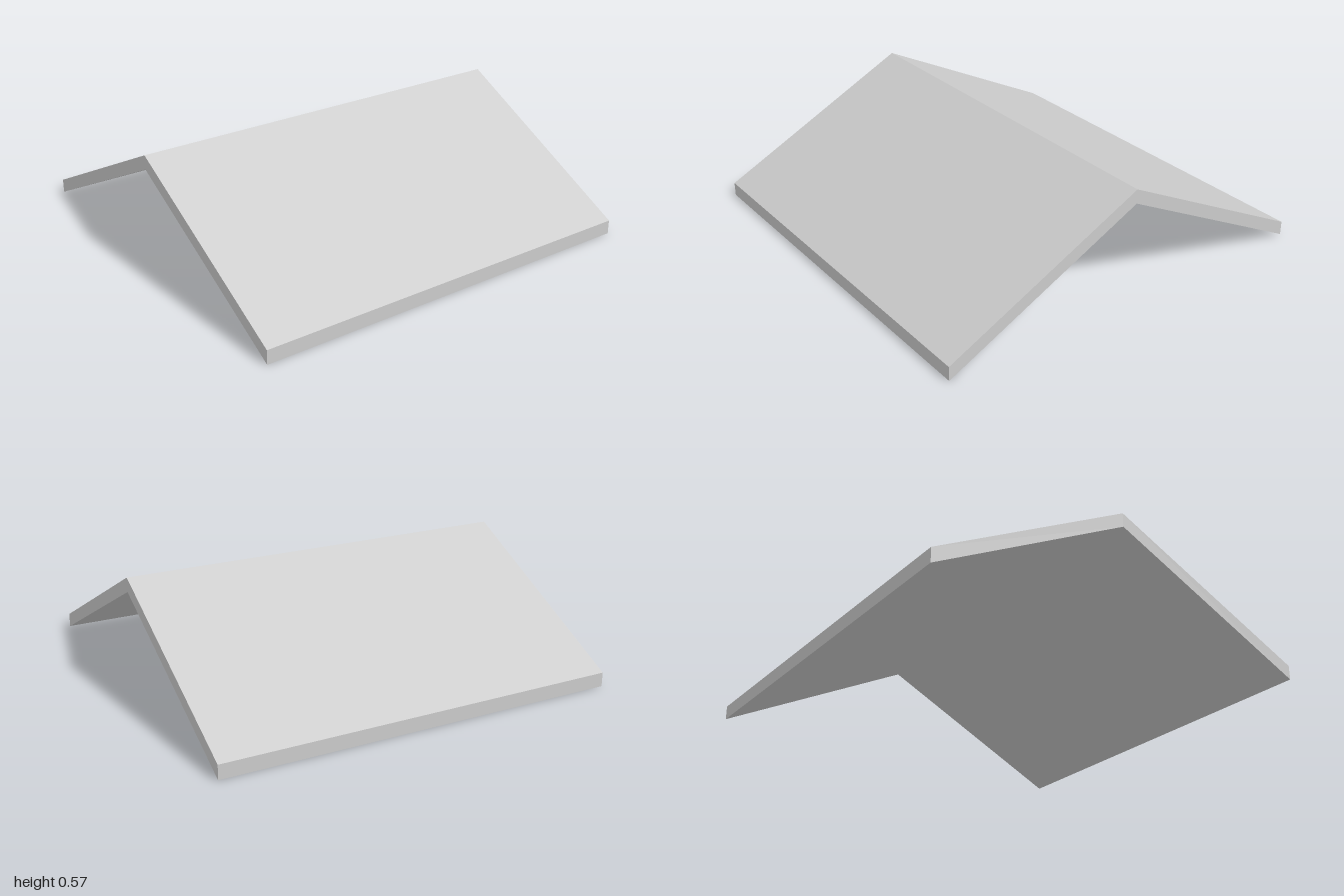
import * as THREE from 'three';

export function createModel() {
  const group = new THREE.Group();
  group.name = 'gableRoof';

  const halfSpan = 1, length = 2, rise = 0.5, thickness = 0.07;

  // Chevron cross-section: two sloping slabs meeting at the ridge, cut plumb at the eaves
  const profile = new THREE.Shape([
    new THREE.Vector2(-halfSpan, 0),
    new THREE.Vector2(0, rise),
    new THREE.Vector2(halfSpan, 0),
    new THREE.Vector2(halfSpan, thickness),
    new THREE.Vector2(0, rise + thickness),
    new THREE.Vector2(-halfSpan, thickness),
  ]);

  // Run the section along x so the ridge is parallel to the front
  const geometry = new THREE.ExtrudeGeometry(profile, { depth: length, bevelEnabled: false });
  geometry.translate(0, 0, -length / 2);
  geometry.rotateY(Math.PI / 2);

  const roof = new THREE.Mesh(
    geometry,
    new THREE.MeshStandardMaterial({ color: 0xcccccc, flatShading: true })
  );
  roof.name = 'roofSlabs';
  group.add(roof);
  return group;
}
